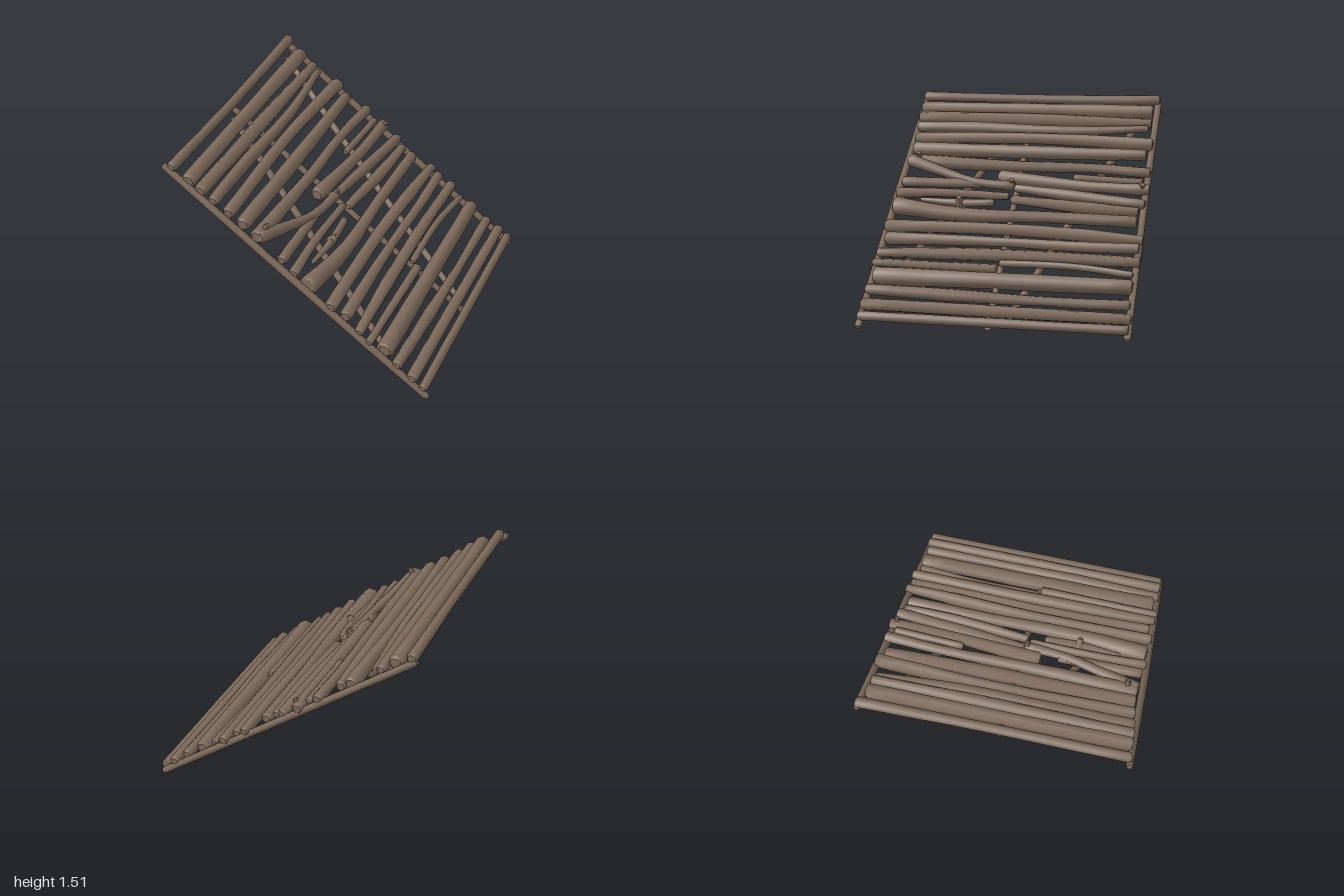
import * as THREE from 'three';

// Sloping plane of the lattice: y = BASE - SLOPE * x
const BASE = 0.77, SLOPE = 0.735;
const NORMAL = new THREE.Vector3(SLOPE, 1, 0).normalize();
const SIDES = 7;

// Point above plan position (x, z), lifted off the plane by n
const onSlope = (x, z, n) => new THREE.Vector3(x, BASE - SLOPE * x + n / NORMAL.y, z);

let seed = 11;
function rand() {
  seed = (seed * 16807) % 2147483647;
  return seed / 2147483647;
}

// Rough pole through stations [x, z, radius], with bevelled flat ends
function poleGeometry(stations, lift, sides = SIDES, rings = 9) {
  const pts = stations.map(([x, z]) => onSlope(x, z, lift));
  const curve = new THREE.CatmullRomCurve3(pts, false, 'centripetal');
  const last = stations.length - 1;
  const bevel = 0.016 / curve.getLength();
  const ts = [0, bevel];
  for (let i = 1; i < rings; i++) ts.push(i / rings);
  ts.push(1 - bevel, 1);
  const pos = [], index = [], spin = rand() * 6;
  const ringAt = (t, shrink, wobble) => {
    const c = curve.getPoint(t), T = curve.getTangent(t);
    const A = new THREE.Vector3().crossVectors(NORMAL, T).normalize();
    const B = new THREE.Vector3().crossVectors(T, A);
    const f = t * last, k = Math.min(Math.floor(f), last - 1);
    const r = THREE.MathUtils.lerp(stations[k][2], stations[k + 1][2], f - k) * shrink;
    for (let j = 0; j < sides; j++) {
      const a = spin + j / sides * Math.PI * 2;
      const q = r * (1 + (wobble ? (rand() - 0.5) * 0.08 : 0));
      const p = c.clone().addScaledVector(A, q * Math.cos(a)).addScaledVector(B, q * Math.sin(a));
      pos.push(p.x, p.y, p.z);
    }
  };
  ts.forEach((t, i) => {
    const end = i === 0 || i === ts.length - 1;
    ringAt(t, end ? 0.72 : 1.05, !end);
  });
  for (let i = 0; i < ts.length - 1; i++) {
    for (let j = 0; j < sides; j++) {
      const k = (j + 1) % sides;
      const a = i * sides + j, b = i * sides + k, c = b + sides, d = a + sides;
      index.push(a, b, d, b, c, d);
    }
  }
  // End caps have their own vertices, so they stay flat
  for (const end of [0, 1]) {
    const from = end ? (ts.length - 1) * sides : 0;
    const start = pos.length / 3;
    for (let j = 0; j < sides * 3; j++) pos.push(pos[from * 3 + j]);
    const c = curve.getPoint(end);
    pos.push(c.x, c.y, c.z);
    for (let j = 0; j < sides; j++) {
      const k = (j + 1) % sides;
      index.push(start + sides, start + (end ? j : k), start + (end ? k : j));
    }
  }
  const g = new THREE.BufferGeometry();
  g.setAttribute('position', new THREE.Float32BufferAttribute(pos, 3));
  g.setIndex(index);
  g.computeVertexNormals();
  return g;
}

// Cross poles from the upper edge to the lower edge: [x, z, radius] stations
const UPPER = [
  [[-0.925, -0.96, 0.04], [-0.92, 0, 0.034], [-0.93, 0.95, 0.037]],
  [[-0.805, -0.92, 0.056], [-0.81, 0, 0.05], [-0.81, 0.94, 0.052]],
  [[-0.7, -0.92, 0.036], [-0.71, -0.13, 0.052], [-0.725, 0.94, 0.047]],
  [[-0.655, -0.9, 0.025], [-0.62, -0.3, 0.037], [-0.635, 0.4, 0.046], [-0.635, 0.93, 0.04]],
  [[-0.505, -0.95, 0.052], [-0.54, -0.13, 0.042], [-0.525, 0.92, 0.045]],
  [[-0.415, -0.91, 0.04], [-0.415, -0.13, 0.05], [-0.425, 0.91, 0.052]],
  [[-0.26, -0.96, 0.04], [-0.29, -0.5, 0.036], [-0.29, 0.03, 0.042], [-0.32, 0.91, 0.055]],
];
const MIDDLE = [
  [[-0.18, -0.91, 0.027], [-0.205, -0.39, 0.026]],
  [[-0.115, -0.97, 0.042], [-0.13, -0.5, 0.038], [-0.19, 0.18, 0.055]],
  [[0.01, -0.95, 0.038], [-0.05, -0.4, 0.042], [-0.1, 0.04, 0.03]],
  [[0.07, -0.91, 0.032], [0.05, -0.5, 0.046], [0, 0.05, 0.032]],
  [[0.15, -0.91, 0.043], [0.135, -0.24, 0.042], [0.135, 0.4, 0.052], [0.075, 0.93, 0.068]],
  [[-0.13, 0.3, 0.036], [-0.13, 0.92, 0.039]],
  [[-0.025, 0.07, 0.027], [-0.04, 0.55, 0.032], [-0.03, 0.94, 0.038]],
  [[0.03, 0.17, 0.027], [0.04, 0.43, 0.03], [0.02, 0.74, 0.014]],
];
const LOWER = [
  [[0.3, -0.97, 0.034], [0.275, -0.55, 0.048], [0.25, 0.03, 0.043], [0.25, 0.95, 0.046]],
  [[0.365, -0.95, 0.038], [0.365, -0.5, 0.036], [0.35, 0.03, 0.033], [0.35, 0.92, 0.046]],
  [[0.47, -0.97, 0.039], [0.455, -0.4, 0.043], [0.455, 0.4, 0.047], [0.465, 0.95, 0.034]],
  [[0.565, -0.93, 0.024], [0.52, -0.5, 0.024], [0.515, 0.03, 0.025]],
  [[0.56, 0.04, 0.035], [0.545, 0.96, 0.029]],
  [[0.655, -0.94, 0.053], [0.65, -0.13, 0.058], [0.645, 0.92, 0.064]],
  [[0.79, -0.94, 0.038], [0.785, -0.3, 0.033], [0.77, 0.3, 0.046], [0.75, 0.95, 0.039]],
  [[0.89, -0.96, 0.038], [0.88, -0.13, 0.042], [0.865, 0.95, 0.043]],
  [[0.965, -0.95, 0.033], [0.95, 0.95, 0.033]],
];

export function createModel() {
  const model = new THREE.Group();
  const wood = new THREE.MeshStandardMaterial({ color: 0x7d6a5b });
  wood.name = 'weathered wood';
  const add = (name, geometry) => {
    const mesh = new THREE.Mesh(geometry, wood);
    mesh.name = name;
    model.add(mesh);
    return mesh;
  };

  // Cross poles resting on the rails
  for (const [name, list] of [['upperPole', UPPER], ['middlePole', MIDDLE], ['lowerPole', LOWER]]) {
    list.forEach((s, i) => add(name + (i + 1), poleGeometry(s, 0.037)));
  }

  // Snapped pole lying askew over the gap
  add('brokenPole', poleGeometry(
    [[-0.09, 0.04, 0.037], [-0.12, 0.35, 0.031], [-0.2, 0.62, 0.036], [-0.3, 0.91, 0.05]], 0.055));

  // Long rails down the slope
  add('backRail', poleGeometry([[-0.96, -0.945, 0.026], [0, -0.94, 0.027], [0.99, -0.945, 0.025]], 0));
  add('frontRail', poleGeometry([[-0.995, 0.94, 0.025], [0, 0.945, 0.028], [0.99, 0.94, 0.025]], 0));
  add('centreRail', poleGeometry([[-0.94, 0.04, 0.022], [0, 0.03, 0.023], [0.97, 0.02, 0.022]], 0));

  // Diagonal braces underneath
  add('backBrace', poleGeometry([[-0.9, -0.85, 0.024], [-0.33, -0.58, 0.026], [0.85, -0.09, 0.024]], -0.036));
  add('frontBrace', poleGeometry([[-0.9, 0.08, 0.024], [-0.19, 0.42, 0.026], [0.62, 0.82, 0.024]], -0.036));

  // Peg heads
  const pegGeometry = new THREE.CylinderGeometry(0.019, 0.024, 0.05, 6).toNonIndexed();
  pegGeometry.computeVertexNormals();
  [[-0.28, 0.83, 0.1], [-0.085, 0.06, 0.085], [-0.095, -0.92, 0.07]].forEach(([x, z, n], i) => {
    const peg = add('peg' + (i + 1), pegGeometry);
    peg.position.copy(onSlope(x, z, n));
    peg.quaternion.setFromUnitVectors(new THREE.Vector3(0, 1, 0), NORMAL);
  });

  // Snapped twig stub on the splintered pole
  const stub = add('twigStub', new THREE.CylinderGeometry(0.018, 0.045, 0.08, 6));
  stub.position.copy(onSlope(0.055, 0.43, 0.06));
  stub.quaternion.setFromUnitVectors(new THREE.Vector3(0, 1, 0), NORMAL);

  return model;
}
